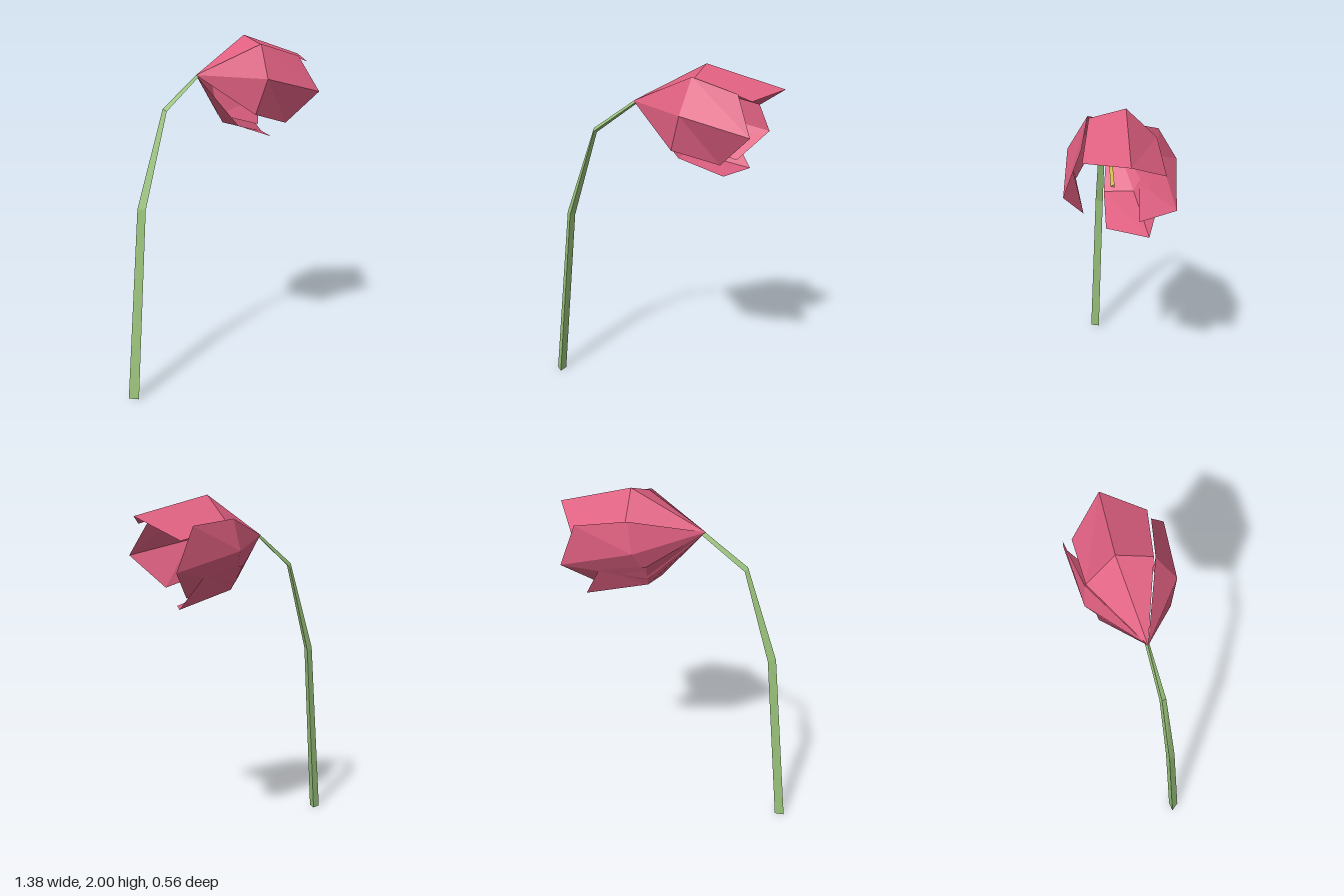
import * as THREE from 'three';

const petalMat = new THREE.MeshStandardMaterial({ color: 0xde5f80, flatShading: true, side: THREE.DoubleSide });
petalMat.name = 'petal pink';
const stemMat = new THREE.MeshStandardMaterial({ color: 0x9ac37b, flatShading: true });
stemMat.name = 'stem green';
const stamenMat = new THREE.MeshStandardMaterial({ color: 0xd0bb50, flatShading: true });
stamenMat.name = 'stamen yellow';

// Flat-shaded mesh from corner points and triangles
function facetMesh(name, points, faces, material) {
  const indexed = new THREE.BufferGeometry();
  indexed.setAttribute('position', new THREE.Float32BufferAttribute(points.flat(), 3));
  indexed.setIndex(faces.flat());
  const geometry = indexed.toNonIndexed();
  geometry.computeVertexNormals();
  const mesh = new THREE.Mesh(geometry, material);
  mesh.name = name;
  return mesh;
}

// Petal: a fan from the base to the widest row, then a strip to the pointed rim
const base = [-0.16, 1.785, -0.045];
function petal(name, middle, rim) {
  const faces = [];
  for (let i = 0; i < 2; i++) {
    const a = 1 + i, b = 2 + i, c = 4 + i, d = 5 + i;
    faces.push([0, b, a], [a, b, d], [a, d, c]);
  }
  return facetMesh(name, [base, ...middle, ...rim], faces, petalMat);
}

// Three-sided tube through a list of triangular rings, capped at both ends
function triangularTube(name, rings, material) {
  const faces = [[0, 2, 1]];
  for (let r = 0; r < rings.length - 1; r++) {
    for (let k = 0; k < 3; k++) {
      const a = r * 3 + k, b = r * 3 + (k + 1) % 3;
      faces.push([a, b, b + 3], [a, b + 3, a + 3]);
    }
  }
  const top = (rings.length - 1) * 3;
  faces.push([top, top + 1, top + 2]);
  return facetMesh(name, rings.flat(), faces, material);
}

// Thin three-sided rod between two points
function rod(name, from, to, r0, r1) {
  const a = new THREE.Vector3(...from), b = new THREE.Vector3(...to);
  const mesh = new THREE.Mesh(new THREE.CylinderGeometry(r1, r0, a.distanceTo(b), 3), stamenMat);
  mesh.position.copy(a).lerp(b, 0.5);
  mesh.quaternion.setFromUnitVectors(new THREE.Vector3(0, 1, 0), b.sub(a).normalize());
  mesh.name = name;
  return mesh;
}

export function createModel() {
  const flower = new THREE.Group();
  flower.name = 'flower';

  // Bent stem
  flower.add(triangularTube('stem', [
    [[-0.695, 0, -0.045], [-0.66, 0, 0.003], [-0.64, 0, -0.05]],
    [[-0.585, 1.085, -0.06], [-0.558, 1.08, -0.022], [-0.54, 1.07, -0.066]],
    [[-0.40, 1.615, -0.052], [-0.393, 1.602, -0.027], [-0.385, 1.59, -0.06]],
    [[-0.15, 1.79, -0.046], [-0.145, 1.778, -0.035], [-0.14, 1.77, -0.055]],
  ], stemMat));

  // Four overlapping petals
  flower.add(
    petal('topPetal',
      [[0.23, 1.83, -0.24], [0.25, 2.0, -0.073], [0.212, 1.945, 0.11]],
      [[0.54, 1.755, -0.228], [0.69, 1.88, -0.025], [0.53, 1.845, 0.183]]),
    petal('frontPetal',
      [[0.20, 1.952, 0.115], [0.15, 1.76, 0.216], [0.10, 1.56, 0.17]],
      [[0.455, 1.88, 0.178], [0.535, 1.672, 0.278], [0.37, 1.49, 0.162]]),
    petal('bottomPetal',
      [[0.115, 1.48, 0.02], [0.14, 1.485, -0.14], [0.12, 1.62, -0.22]],
      [[0.375, 1.395, 0.045], [0.505, 1.397, -0.16], [0.39, 1.575, -0.235]]),
    petal('backPetal',
      [[0.13, 1.53, -0.17], [0.18, 1.70, -0.272], [0.21, 1.87, -0.25]],
      [[0.43, 1.45, -0.12], [0.60, 1.595, -0.272], [0.50, 1.83, -0.28]]),
  );

  // Stamens inside the bloom
  flower.add(
    rod('longStamen', [-0.14, 1.78, -0.04], [0.32, 1.61, 0], 0.008, 0.014),
    rod('shortStamen', [-0.14, 1.78, -0.04], [0.12, 1.82, 0.01], 0.006, 0.01),
  );
  return flower;
}
